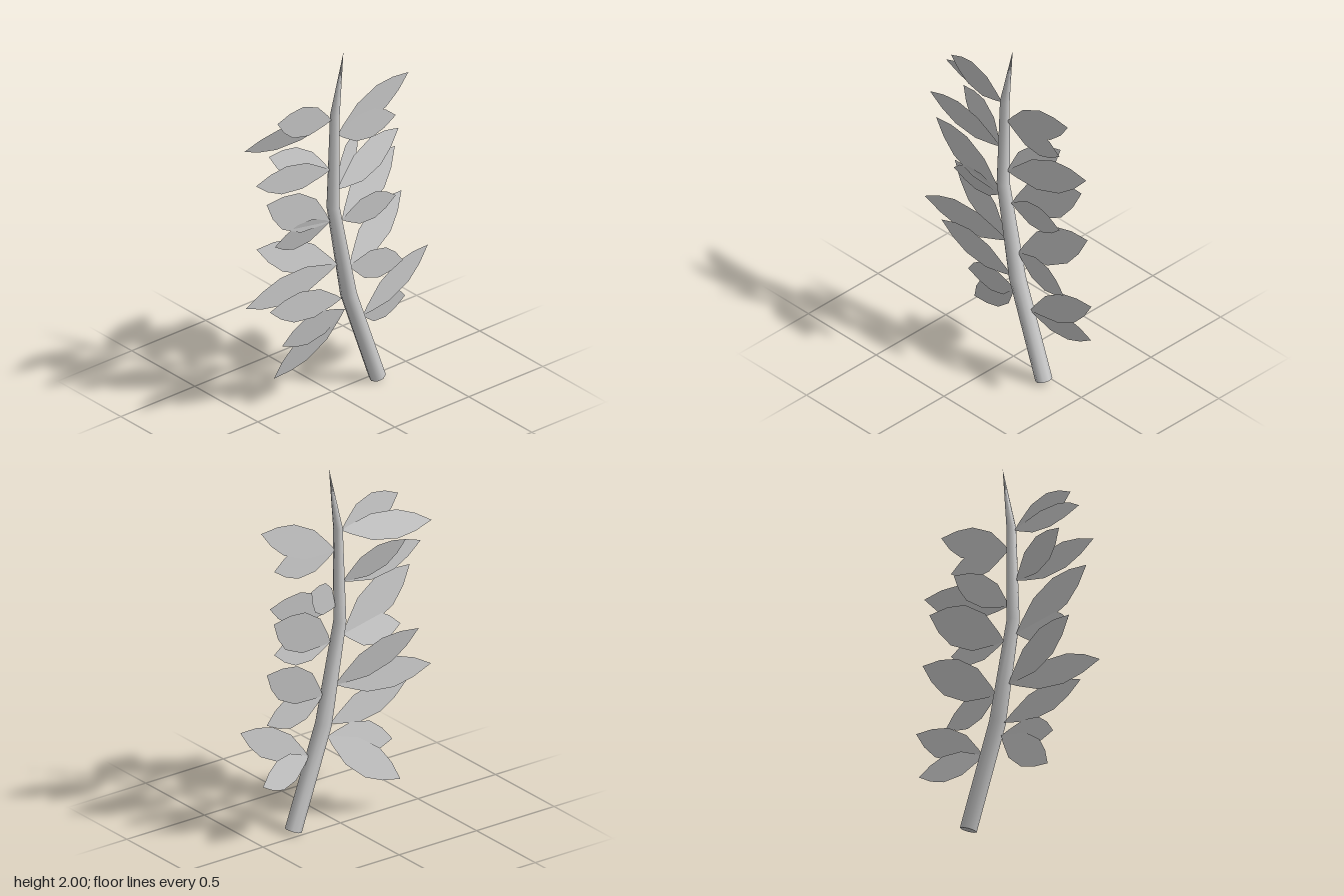
import * as THREE from 'three';
import { toCreasedNormals } from 'three/addons/utils/BufferGeometryUtils.js';

const CX = 0.045; // x of the stem's centre line

// Stem rings from the cut end to the pointed tip: y, z, radius
const RINGS = [
  [0.02, -0.27, 0.045],
  [0.57, -0.075, 0.044],
  [1.12, 0.03, 0.034],
  [1.65, 0.018, 0.025],
  [2.0, -0.04, 0.0],
];

// Leaf pairs share a stem joint (y, z); each leaf: tip x, tip y, tip z, half width, twist
const JOINTS = [
  { y: 1.63, z: 0.04, leaves: [[0.05, 1.74, 0.41, 0.09, 0.1], [-0.05, 1.585, 0.55, 0.075, 0.3]] },
  { y: 1.34, z: 0.05, leaves: [[-0.03, 1.51, 0.40, 0.08, -0.15], [0.055, 1.43, 0.56, 0.08, 0.05]] },
  { y: 1.04, z: 0.05, leaves: [[0.07, 1.305, 0.50, 0.105, 0.05], [0.03, 1.01, 0.41, 0.085, 0.25]] },
  { y: 0.77, z: 0.0, leaves: [[-0.04, 0.99, 0.475, 0.088, -0.1], [0.04, 0.725, 0.615, 0.085, 0.05]] },
  { y: 0.56, z: -0.03, leaves: [[0.06, 0.66, 0.47, 0.087, 0.05]] },
  { y: 0.49, z: -0.05, leaves: [[0.0, 0.39, 0.335, 0.09, 0.15], [-0.055, 0.18, 0.345, 0.085, 0.12]] },
  { y: 1.53, z: 0.0, leaves: [[0.062, 1.74, -0.465, 0.085, 0.05], [0.05, 1.51, -0.39, 0.085, 0.05]] },
  { y: 1.21, z: 0.0, leaves: [[-0.045, 1.36, -0.49, 0.09, -0.1], [-0.09, 1.41, -0.255, 0.08, 0.2]] },
  { y: 1.02, z: -0.03, leaves: [[-0.04, 1.265, -0.46, 0.11, -0.1], [0.05, 1.04, -0.39, 0.083, 0.1]] },
  { y: 0.73, z: -0.08, leaves: [[-0.04, 0.99, -0.505, 0.1, -0.1], [0.06, 0.65, -0.43, 0.085, 0.05]] },
  { y: 0.41, z: -0.17, leaves: [[0.04, 0.665, -0.615, 0.083, 0.05], [-0.04, 0.365, -0.53, 0.083, 0.15]] },
];

// Half of the leaf outline: fraction along the length, fraction of the half width
const OUTLINE = [[0.1, 0.32], [0.34, 0.92], [0.62, 1], [0.82, 0.62]];

function makeStem(material) {
  const n = RINGS.length - 1;
  const geo = new THREE.CylinderGeometry(1, 1, 1, 8, n);
  const pos = geo.attributes.position;
  for (let i = 0; i < pos.count; i++) {
    const k = Math.round((pos.getY(i) + 0.5) * n);
    const [y, z, r] = RINGS[k];
    const a = RINGS[Math.max(k - 1, 0)], b = RINGS[Math.min(k + 1, n)];
    // Tilt each ring square to the bend of the stem
    const lean = Math.atan2(b[1] - a[1], b[0] - a[0]);
    const w = pos.getZ(i) * r;
    pos.setXYZ(i, CX + pos.getX(i) * r, y - w * Math.sin(lean), z + w * Math.cos(lean));
  }
  const mesh = new THREE.Mesh(toCreasedNormals(geo, Math.PI / 3), material);
  mesh.name = 'stem';
  return mesh;
}

function makeLeafGeometry() {
  const right = OUTLINE.map(([t, w]) => new THREE.Vector2(w, t));
  const left = OUTLINE.map(([t, w]) => new THREE.Vector2(-w, t)).reverse();
  const shape = new THREE.Shape([new THREE.Vector2(0, 0), ...right, new THREE.Vector2(0, 1), ...left]);
  return new THREE.ShapeGeometry(shape);
}

export function createModel() {
  const group = new THREE.Group();
  group.name = 'leafyBranch';
  const stemMaterial = new THREE.MeshStandardMaterial({ color: 0xcccccc });
  const leafMaterial = new THREE.MeshStandardMaterial({ color: 0xcccccc, side: THREE.DoubleSide });
  group.add(makeStem(stemMaterial));

  const leafGeometry = makeLeafGeometry();
  for (const { y, z, leaves } of JOINTS) {
    const base = new THREE.Vector3(CX, y, z);
    for (const [tx, ty, tz, halfWidth, twist] of leaves) {
      const along = new THREE.Vector3(tx, ty, tz).sub(base);
      const length = along.length();
      along.normalize();
      // Blade lies near the y-z plane, rolled a little about its midrib
      const side = new THREE.Vector3(1, 0, 0).cross(along).normalize();
      if (side.y < 0) side.negate();
      side.x += Math.tan(twist);
      side.addScaledVector(along, -side.dot(along)).normalize();
      const normal = side.clone().cross(along);

      const leaf = new THREE.Mesh(leafGeometry, leafMaterial);
      leaf.name = 'leaf';
      leaf.quaternion.setFromRotationMatrix(new THREE.Matrix4().makeBasis(side, along, normal));
      leaf.position.copy(base);
      leaf.scale.set(halfWidth, length, 1);
      group.add(leaf);
    }
  }
  return group;
}
